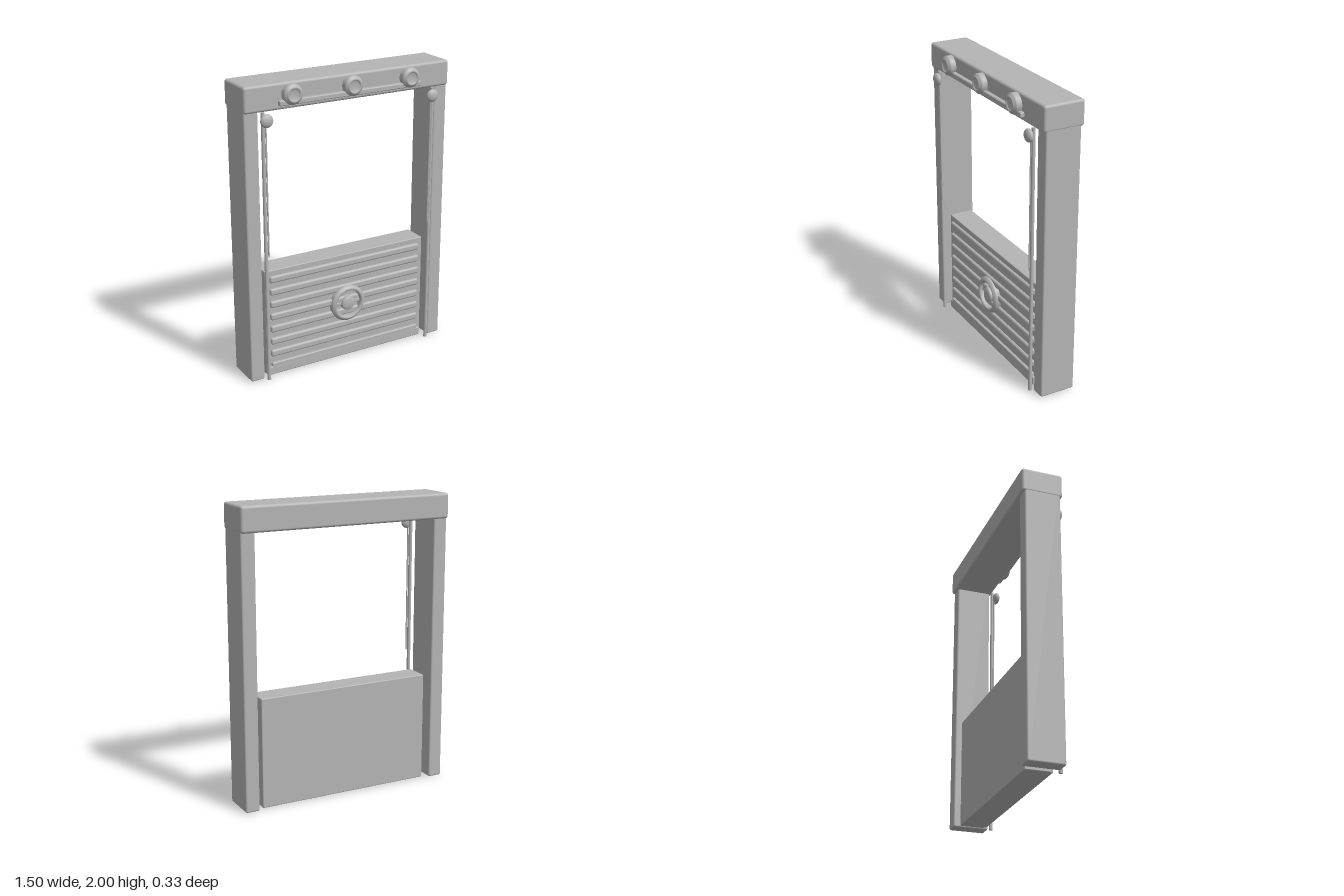
import * as THREE from 'three';
import { RoundedBoxGeometry } from 'three/addons/geometries/RoundedBoxGeometry.js';

export function createModel() {
  const model = new THREE.Group();
  const grey = new THREE.MeshStandardMaterial({ color: 0xb4b4b4 });
  grey.name = 'grey';

  function add(name, geometry, x, y, z) {
    const mesh = new THREE.Mesh(geometry, grey);
    mesh.name = name;
    mesh.position.set(x, y, z);
    model.add(mesh);
    return mesh;
  }
  // Rounded box given by its lower and upper limits on each axis
  function block(name, [x0, x1], [y0, y1], [z0, z1], r) {
    return add(name, new RoundedBoxGeometry(x1 - x0, y1 - y0, z1 - z0, 3, r),
      (x0 + x1) / 2, (y0 + y1) / 2, (z0 + z1) / 2);
  }
  // Turned part whose axis points to the front; profile is [radius, height]
  function turned(name, profile, x, y, z) {
    const points = profile.map(([r, h]) => new THREE.Vector2(r, h));
    return add(name, new THREE.LatheGeometry(points, 40).rotateX(Math.PI / 2), x, y, z);
  }

  // Frame
  block('header', [-0.75, 0.75], [1.83, 2], [-0.165, 0.115], 0.018);
  for (const s of [-1, 1]) {
    const side = s < 0 ? 'right' : 'left';
    const post = block(side + 'Post', [0.65, 0.748], [0.006, 1.9], [-0.145, 0.1], 0.012);
    post.position.x *= s;

    // Guide rail, cord and ball
    add(side + 'Rail', new THREE.CylinderGeometry(0.012, 0.012, 1.83, 16), s * 0.625, 0.915, 0.112);
    add(side + 'Cord', new THREE.CylinderGeometry(0.005, 0.005, 0.92, 12), s * 0.609, 1.34, 0.12);
    add(side + 'Ball', new THREE.SphereGeometry(0.043, 32, 20), s * 0.61, 1.78, 0.137).scale.z = 0.55;
  }

  // Ledge and dials on the header
  block('ledge', [-0.52, 0.52], [1.858, 1.893], [0.105, 0.142], 0.008);
  for (const x of [-0.43, 0, 0.43]) {
    turned('dial', [[0.066, 0], [0.066, 0.035], [0.062, 0.043], [0.053, 0.046],
      [0.05, 0.053], [0.044, 0.056], [0.037, 0.053], [0.034, 0.044], [0, 0.044]], x, 1.925, 0.113);
  }

  // Lower panel with its slats and kick plate
  block('panel', [-0.612, 0.612], [0.004, 0.752], [-0.11, 0.056], 0.006);
  for (let i = 0; i < 7; i++) {
    const y = 0.69 - i * 0.0888;
    block('slat', [-0.58, 0.58], [y - 0.024, y + 0.024], [0.036, 0.074], 0.014);
  }
  block('kickPlateBase', [-0.6, 0.6], [0.006, 0.066], [0.036, 0.075], 0.008);
  block('kickPlateTop', [-0.578, 0.578], [0.04, 0.09], [0.036, 0.0745], 0.008);

  // Round emblem: stepped ring and domed boss
  turned('ring', [[0.128, 0], [0.128, 0.032], [0.122, 0.04], [0.116, 0.042],
    [0.113, 0.048], [0.103, 0.05], [0.096, 0.044], [0.094, 0.034], [0.094, 0]], 0, 0.4, 0.05);
  turned('boss', [[0.05, 0], [0.05, 0.036], [0.046, 0.042], [0.03, 0.047], [0, 0.05]], 0, 0.4, 0.05);
  block('ringBar', [-0.098, 0.098], [0.388, 0.412], [0.05, 0.076], 0.006);

  return model;
}
